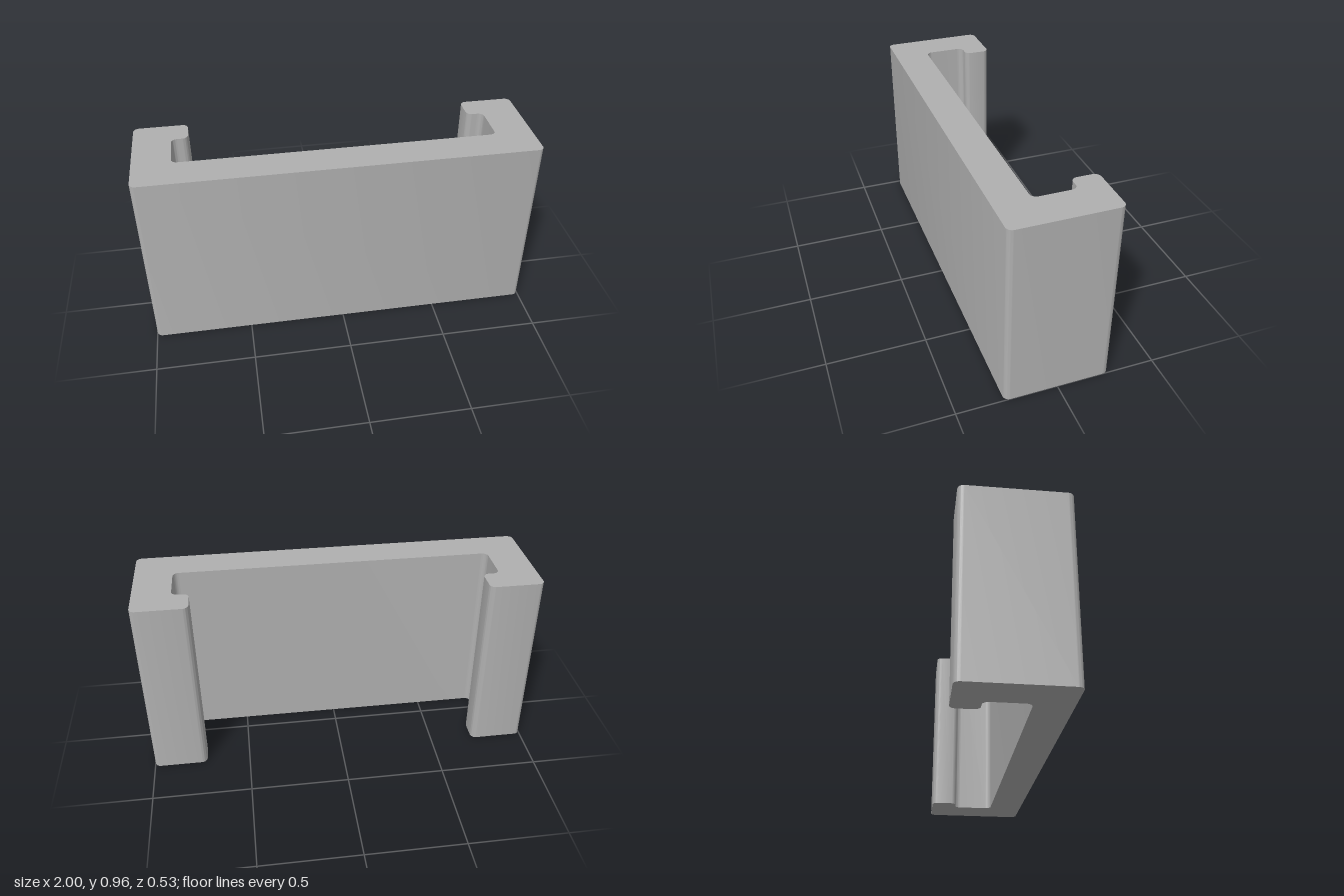
import * as THREE from 'three';
import { toCreasedNormals } from 'three/addons/utils/BufferGeometryUtils.js';

const HEIGHT = 0.96;
const RADIUS = 0.03;

// Closed outline of right-angled corners, each rounded by an arc
function roundedOutline(corners, r) {
  const shape = new THREE.Shape();
  const pts = corners.map(([x, y]) => new THREE.Vector2(x, y));
  const n = pts.length;
  pts.forEach((p, i) => {
    const toPrev = pts[(i + n - 1) % n].clone().sub(p).setLength(r);
    const toNext = pts[(i + 1) % n].clone().sub(p).setLength(r);
    const c = p.clone().add(toPrev).add(toNext);
    shape.absarc(
      c.x, c.y, r,
      Math.atan2(-toNext.y, -toNext.x),
      Math.atan2(-toPrev.y, -toPrev.x),
      toPrev.cross(toNext) > 0 // clockwise on inside corners
    );
  });
  shape.closePath();
  return shape;
}

export function createModel() {
  const group = new THREE.Group();
  group.name = 'channelBracket';

  const grey = new THREE.MeshStandardMaterial({ color: 0xb0b0b0 });
  grey.name = 'grey';

  // Right half of the C-shaped section, from the front wall round to the lip (y is -z)
  const half = [
    [1, -0.265], [1, 0.265], [0.725, 0.265],
    [0.725, 0.13], [0.81, 0.13], [0.81, -0.085],
  ];
  const mirrored = half.map(([x, y]) => [-x, y]).reverse();
  const section = roundedOutline([...half, ...mirrored], RADIUS);

  // Section raised to full height
  const extruded = new THREE.ExtrudeGeometry(section, {
    depth: HEIGHT, bevelEnabled: false, curveSegments: 8,
  });
  extruded.rotateX(-Math.PI / 2);

  const channel = new THREE.Mesh(toCreasedNormals(extruded, 0.6), grey);
  channel.name = 'channel';
  group.add(channel);
  return group;
}
